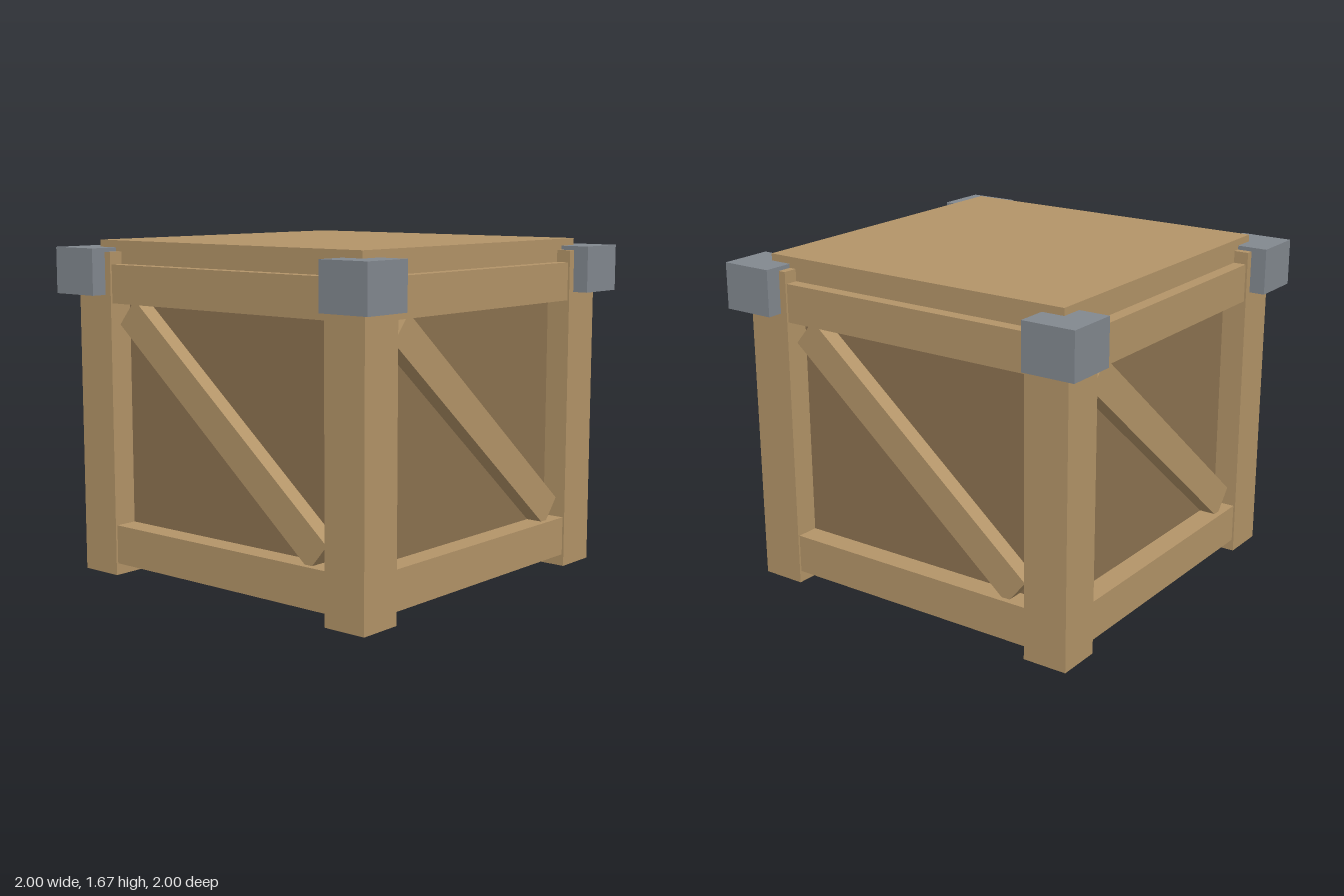
import * as THREE from 'three';

export function createModel() {
  const crate = new THREE.Group();
  crate.name = 'crate';

  const material = (name, color) => {
    const m = new THREE.MeshStandardMaterial({ color });
    m.name = name;
    return m;
  };
  const wood = material('light wood', 0xb39468);
  const darkWood = material('dark wood', 0x8c7250);
  const metal = material('grey metal', 0x82888f);

  // Box given by its min and max corners
  const box = (parent, name, mat, [x0, y0, z0], [x1, y1, z1]) => {
    const mesh = new THREE.Mesh(new THREE.BoxGeometry(x1 - x0, y1 - y0, z1 - z0), mat);
    mesh.position.set((x0 + x1) / 2, (y0 + y1) / 2, (z0 + z1) / 2);
    mesh.name = name;
    parent.add(mesh);
    return mesh;
  };

  // Recessed panels and floor, with the lid on top
  box(crate, 'panelBody', darkWood, [-0.795, 0.02, -0.795], [0.795, 1.54, 0.795]);
  box(crate, 'lid', wood, [-0.845, 1.53, -0.845], [0.845, 1.675, 0.845]);

  // Four identical sides, each with one corner post
  for (let i = 0; i < 4; i++) {
    const side = new THREE.Group();
    side.name = 'side' + (i + 1);
    side.rotation.y = (i * Math.PI) / 2;
    crate.add(side);

    box(side, 'cornerPost', wood, [0.692, 0, 0.692], [0.92, 1.62, 0.92]);
    box(side, 'cornerCap', metal, [0.73, 1.41, 0.73], [1, 1.64, 1]);
    box(side, 'bottomRail', wood, [-0.7, 0.06, 0.75], [0.7, 0.255, 0.91]);
    box(side, 'topRail', wood, [-0.7, 1.37, 0.75], [0.7, 1.56, 0.91]);

    // Diagonal brace, its ends tucked behind the rails
    const brace = box(side, 'brace', wood, [-0.805, 0.73, 0.77], [0.805, 0.894, 0.88]);
    brace.rotation.z = -0.696;
  }
  return crate;
}
